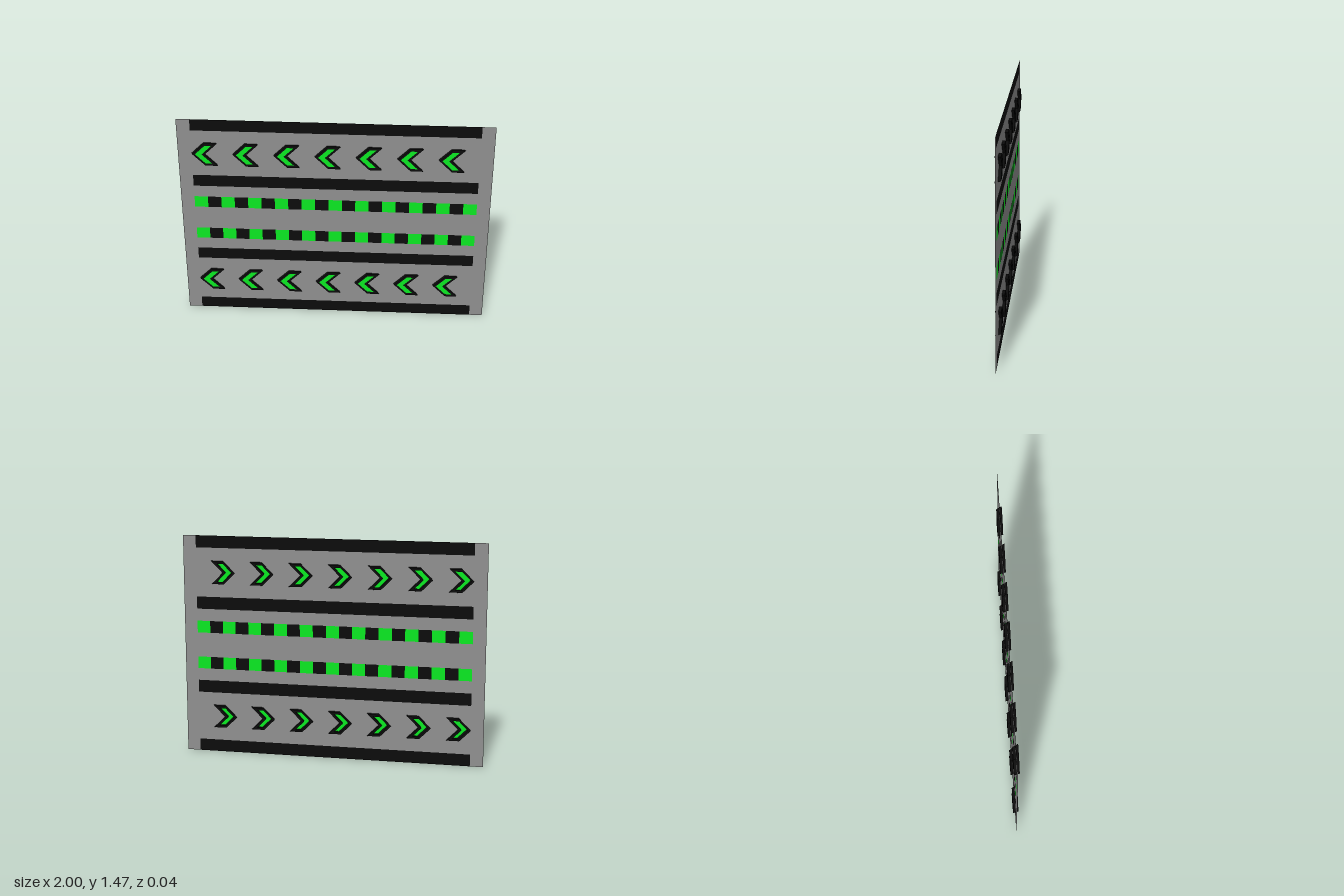
import * as THREE from 'three';

const material = (color) => new THREE.MeshStandardMaterial({ color, side: THREE.DoubleSide, flatShading: true });

const HEIGHT = 1.465;
const EDGE = 0.914;      // half length of the bars
const DEPTH = 0.018;     // chevron frame reaches this far to each side of the panel
const PITCH = 0.261;
const COUNT = 7;
const FIRST = -0.907;    // tip of the first chevron
const ROWS = [0.245, 1.222];

// Six corners of a chevron pointing to -x, counter-clockwise
function chevron(x0, x1, h, cx = 0, cy = 0) {
  return [[x0, 0], [x0 + h, -h], [x1 + h, -h], [x1, 0], [x1 + h, h], [x0 + h, h]]
    .map(([x, y]) => new THREE.Vector2(cx + x, cy + y));
}

// Hollow frame: rings of corners joined by quads
function frameGeometry() {
  const rings = [
    [chevron(0.018, 0.06, 0.064), DEPTH],
    [chevron(0, 0.08, 0.081), DEPTH],
    [chevron(-0.01, 0.07, 0.074), -DEPTH],
    [chevron(0.008, 0.05, 0.06), -DEPTH],
  ];
  rings.push(rings[0]);
  const positions = [];
  for (let k = 0; k < 4; k++) {
    const [p, zp] = rings[k];
    const [q, zq] = rings[k + 1];
    for (let i = 0; i < 6; i++) {
      const j = (i + 1) % 6;
      const a = [q[i].x, q[i].y, zq], b = [q[j].x, q[j].y, zq];
      const c = [p[j].x, p[j].y, zp], d = [p[i].x, p[i].y, zp];
      positions.push(...a, ...b, ...c, ...a, ...c, ...d);
    }
  }
  const geometry = new THREE.BufferGeometry();
  geometry.setAttribute('position', new THREE.Float32BufferAttribute(positions, 3));
  geometry.computeVertexNormals();
  return geometry;
}

export function createModel() {
  const model = new THREE.Group();
  const grey = material(0x909090);
  const black = material(0x0c0c0c);
  const green = material(0x0bea22);

  function add(name, geometry, mat, parent = model) {
    const mesh = new THREE.Mesh(geometry, mat);
    mesh.name = name;
    parent.add(mesh);
    return mesh;
  }

  // Flat rectangle in the panel plane, with optional holes
  function sheet(name, x0, x1, y0, y1, mat, holes = []) {
    const shape = new THREE.Shape([[x0, y0], [x1, y0], [x1, y1], [x0, y1]]
      .map(([x, y]) => new THREE.Vector2(x, y)));
    shape.holes = holes.map((points) => new THREE.Path(points));
    return add(name, new THREE.ShapeGeometry(shape), mat);
  }

  // Side margins of the panel
  sheet('panelMarginRight', -1, -EDGE, 0, HEIGHT, grey);
  sheet('panelMarginLeft', EDGE, 1, 0, HEIGHT, grey);

  // Panel strips between the bars; the chevron strips are cut out
  const cutouts = (cy) => Array.from({ length: COUNT },
    (_, i) => chevron(-0.005, 0.075, 0.0775, FIRST + i * PITCH, cy));
  sheet('panelLowerStrip', -EDGE, EDGE, 0.08, 0.408, grey, cutouts(ROWS[0]));
  sheet('panelStrip', -EDGE, EDGE, 0.49, 0.571, grey);
  sheet('panelMiddleStrip', -EDGE, EDGE, 0.651, 0.815, grey);
  sheet('panelStrip', -EDGE, EDGE, 0.895, 0.976, grey);
  sheet('panelUpperStrip', -EDGE, EDGE, 1.058, 1.385, grey, cutouts(ROWS[1]));

  // Solid black bars
  for (const [y0, y1] of [[0, 0.08], [0.408, 0.49], [0.976, 1.058], [1.385, HEIGHT]]) {
    sheet('blackBar', -EDGE, EDGE, y0, y1, black);
  }

  // Dashed lines of alternating green and black
  const dashes = 21;
  const step = (2 * EDGE) / dashes;
  for (const [y0, y1] of [[0.571, 0.651], [0.815, 0.895]]) {
    for (let i = 0; i < dashes; i++) {
      const x = -EDGE + i * step;
      sheet(i % 2 ? 'blackDash' : 'greenDash', x, x + step, y0, y1, i % 2 ? black : green);
    }
  }

  // Rows of chevrons: hollow black frame with a green face at the front
  const frame = frameGeometry();
  const face = new THREE.ShapeGeometry(new THREE.Shape(chevron(0.018, 0.06, 0.064)));
  face.translate(0, 0, DEPTH);
  for (const y of ROWS) {
    for (let i = 0; i < COUNT; i++) {
      const arrow = new THREE.Group();
      arrow.name = 'chevron';
      arrow.position.set(FIRST + i * PITCH, y, 0);
      add('chevronFrame', frame, black, arrow);
      add('chevronFace', face, green, arrow);
      model.add(arrow);
    }
  }
  return model;
}
